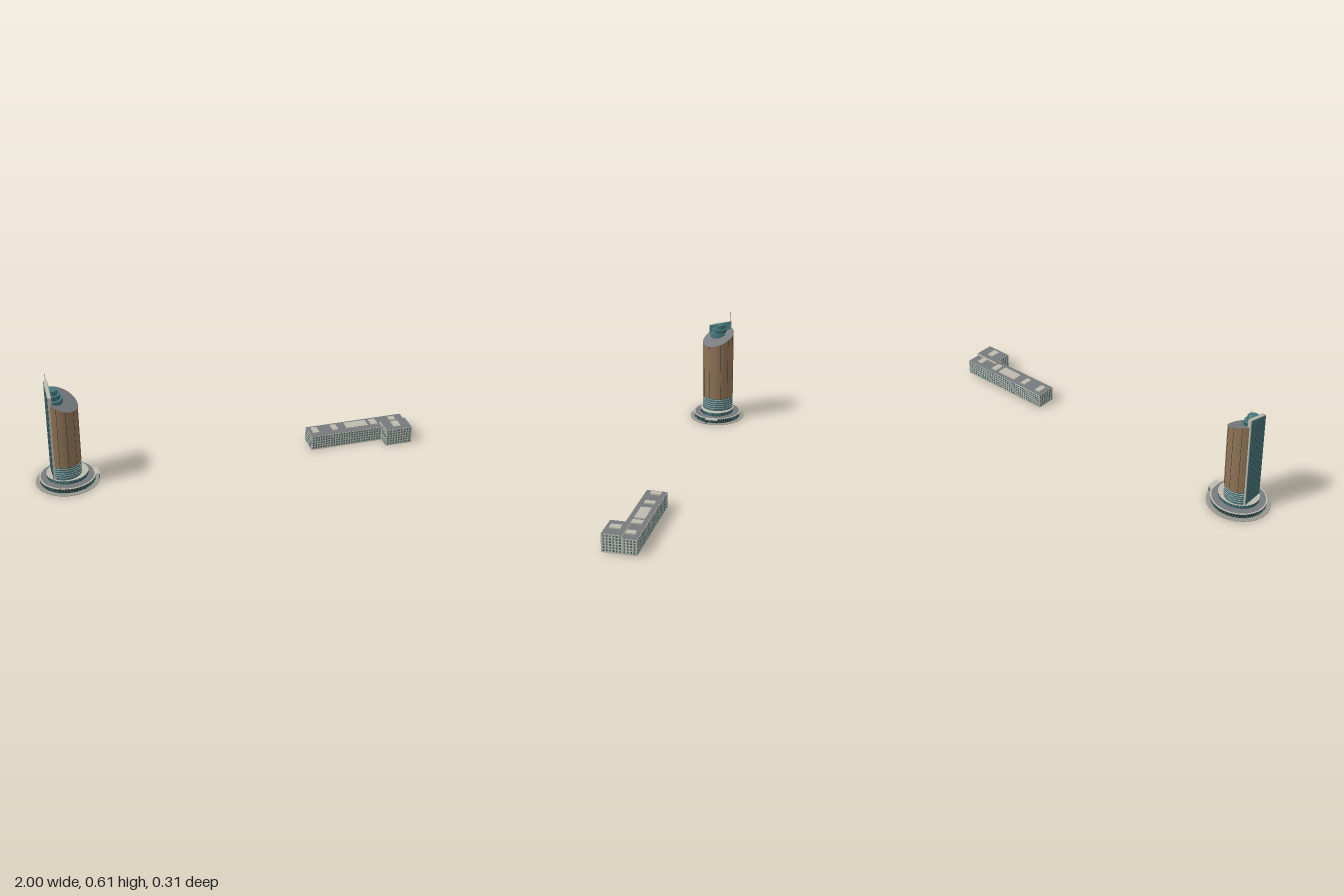
import * as THREE from 'three';
import { mergeGeometries } from 'three/addons/utils/BufferGeometryUtils.js';

const mat = (color, side = THREE.FrontSide) => new THREE.MeshStandardMaterial({ color, side });
const CREAM = mat(0xbdbaae), TEAL = mat(0x45747a), BROWN = mat(0x8f7355), DARK = mat(0x2c3a3a);
const GREY = mat(0x767a7d), ROOF = mat(0x767a7d, THREE.DoubleSide), GLASS = mat(0x45686c), PAVE = mat(0x96968e);

const TX = -0.848, TR = 0.087;      // tower axis and radius
const PX = -0.836;                  // podium centre
const CUT = -0.906;                 // flat back of the tower
const roofY = (x, z) => 0.476 - 0.39 * (x - TX) - 0.264 * z;

function add(parent, name, geo, material, x = 0, y = 0, z = 0) {
  const m = new THREE.Mesh(geo, material);
  m.name = name;
  m.position.set(x, y, z);
  parent.add(m);
  return m;
}

// box given by its minimum and maximum corners
function boxGeo(x0, x1, y0, y1, z0, z1) {
  return new THREE.BoxGeometry(x1 - x0, y1 - y0, z1 - z0)
    .translate((x0 + x1) / 2, (y0 + y1) / 2, (z0 + z1) / 2);
}

// elliptical podium drum
function drum(parent, name, rx, rz, y0, y1, material) {
  const g = new THREE.CylinderGeometry(1, 1, y1 - y0, 72).scale(rx, 1, rz);
  return add(parent, name, g, material, PX, (y0 + y1) / 2, 0);
}

// round drum with its back flattened at x = cut
function cutDrum(parent, name, cx, r, y0, y1, material, cut, open = false) {
  const g = new THREE.CylinderGeometry(r, r, y1 - y0, 64, 1, open).translate(cx, (y0 + y1) / 2, 0);
  const p = g.attributes.position;
  for (let i = 0; i < p.count; i++) p.setX(i, Math.max(cut, p.getX(i)));
  return add(parent, name, g, material);
}

// ring of upright posts on an ellipse
function posts(parent, name, cx, rx, rz, y0, y1, n, w, material, minX = -2) {
  const list = [];
  for (let i = 0; i < n; i++) {
    const a = (i + 0.5) / n * Math.PI * 2;
    const x = cx + Math.cos(a) * rx, z = Math.sin(a) * rz;
    if (x < minX) continue;
    list.push(new THREE.BoxGeometry(w, y1 - y0, w).rotateY(-a).translate(x, (y0 + y1) / 2, z));
  }
  add(parent, name, mergeGeometries(list), material);
}

// upright plate facing x, with a sloping top
function plate(x0, x1, zFront, zBack, y0, yFront, yBack) {
  const s = new THREE.Shape([
    new THREE.Vector2(-zFront, y0), new THREE.Vector2(-zBack, y0),
    new THREE.Vector2(-zBack, yBack), new THREE.Vector2(-zFront, yFront)]);
  return new THREE.ExtrudeGeometry(s, { depth: x1 - x0, bevelEnabled: false })
    .rotateY(Math.PI / 2).translate(x0, 0, 0);
}

function buildPodium() {
  const g = new THREE.Group();
  g.name = 'podium';
  drum(g, 'groundDisc', 0.164, 0.154, 0, 0.002, PAVE);
  drum(g, 'lowerPodium', 0.138, 0.127, 0.002, 0.027, DARK);
  posts(g, 'lowerColumns', PX, 0.14, 0.129, 0.002, 0.027, 60, 0.004, GLASS);
  drum(g, 'lowerPodiumRim', 0.144, 0.134, 0.027, 0.03, CREAM);
  drum(g, 'lowerPodiumRoof', 0.137, 0.127, 0.03, 0.0308, GREY);
  drum(g, 'upperPodium', 0.105, 0.092, 0.03, 0.05, TEAL);
  posts(g, 'upperMullions', PX, 0.105, 0.092, 0.03, 0.05, 44, 0.002, DARK);
  drum(g, 'upperPodiumRoof', 0.107, 0.094, 0.05, 0.053, CREAM);
  // entrance canopy on the side facing +x
  add(g, 'entranceCanopy', boxGeo(-0.702, -0.674, 0.026, 0.031, -0.035, 0.035), CREAM);
  for (const z of [-0.03, 0.03]) add(g, 'canopyPost', boxGeo(-0.68, -0.677, 0, 0.026, z - 0.0015, z + 0.0015), DARK);
  return g;
}

function buildTower() {
  const g = new THREE.Group();
  g.name = 'tower';
  // banded glass base
  cutDrum(g, 'glassBase', TX, TR - 0.001, 0.05, 0.126, TEAL, CUT);
  for (let i = 0; i < 5; i++) cutDrum(g, 'baseBand', TX, TR, 0.065 + i * 0.0128, 0.068 + i * 0.0128, CREAM, CUT);

  // shaft with a sloping top
  const shaft = cutDrum(g, 'shaft', TX, TR, 0.125, 0.47, BROWN, CUT, true);
  const p = shaft.geometry.attributes.position;
  for (let i = 0; i < p.count; i++) if (p.getY(i) > 0.3) p.setY(i, roofY(p.getX(i), p.getZ(i)));

  // sloping roof
  const roof = new THREE.CircleGeometry(TR + 0.0006, 64).rotateX(-Math.PI / 2).translate(TX, 0, 0);
  const q = roof.attributes.position;
  for (let i = 0; i < q.count; i++) {
    const x = Math.max(CUT, q.getX(i)), z = q.getZ(i);
    q.setXYZ(i, x, roofY(x, z), z);
  }
  roof.computeVertexNormals();
  add(g, 'slopingRoof', roof, ROOF);

  // dark vertical joints
  for (const deg of [22, 52, 82, 112]) for (const s of [-1, 1]) {
    const a = s * deg * Math.PI / 180;
    const x = TX + Math.cos(a) * TR, z = Math.sin(a) * TR;
    const h = roofY(x, z) - 0.125;
    add(g, 'shaftJoint', new THREE.BoxGeometry(0.0012, h, 0.0018).rotateY(-a), DARK, x, 0.125 + h / 2, z);
  }

  // stepped round crown against the back wall
  const cx = -0.885, wallX = -0.897;
  cutDrum(g, 'crownLower', cx, 0.053, 0.45, 0.49, TEAL, wallX);
  cutDrum(g, 'crownMiddle', cx, 0.039, 0.49, 0.512, TEAL, wallX);
  posts(g, 'crownMullions', cx, 0.039, 0.039, 0.49, 0.512, 28, 0.0015, DARK, wallX);
  cutDrum(g, 'crownMiddleRim', cx, 0.042, 0.511, 0.514, TEAL, wallX);
  cutDrum(g, 'crownUpper', cx, 0.029, 0.514, 0.538, TEAL, wallX);

  // back wall: light frame with glass on both faces
  add(g, 'backWall', plate(-0.914, -0.896, 0.063, -0.061, 0.03, 0.525, 0.557), CREAM);
  add(g, 'wallInnerGlass', plate(-0.896, -0.895, 0.063, -0.061, 0.44, 0.5245, 0.5565), TEAL);
  add(g, 'wallOuterGlass', plate(-0.9155, -0.914, 0.06, -0.058, 0.05, 0.522, 0.554), TEAL);
  const lines = [];
  for (let y = 0.066; y < 0.52; y += 0.0145) lines.push(boxGeo(-0.916, -0.9154, y, y + 0.001, -0.058, 0.06));
  for (let i = 1; i < 6; i++) {
    const z = -0.058 + i * 0.118 / 6;
    lines.push(boxGeo(-0.916, -0.9154, 0.05, 0.52, z - 0.0005, z + 0.0005));
  }
  add(g, 'wallGlazingBars', mergeGeometries(lines), DARK);
  for (const z of [-0.032, 0.03]) add(g, 'wallJoint', boxGeo(-0.895, -0.8945, 0.46, 0.528, z - 0.0006, z + 0.0006), DARK);

  // mast
  add(g, 'mastBase', new THREE.CylinderGeometry(0.0016, 0.0016, 0.035, 8), CREAM, -0.905, 0.565, -0.055);
  add(g, 'mast', new THREE.CylinderGeometry(0.0005, 0.0011, 0.03, 8), BROWN, -0.905, 0.596, -0.055);
  return g;
}

// windows along one wall; axis is the direction the wall runs in
function windows(list, axis, from, to, at, rows) {
  const n = Math.round((to - from) / 0.0145), step = (to - from) / n;
  for (let r = 0; r < rows; r++) for (let i = 0; i < n; i++) {
    const u = from + (i + 0.5) * step, y = 0.0125 + r * 0.0145;
    const b = axis === 'x' ? new THREE.BoxGeometry(0.008, 0.009, 0.001) : new THREE.BoxGeometry(0.001, 0.009, 0.008);
    list.push(axis === 'x' ? b.translate(u, y, at) : b.translate(at, y, u));
  }
}

function buildOffice() {
  const g = new THREE.Group();
  g.name = 'lowBuilding';
  add(g, 'mainBlock', boxGeo(0.458, 0.999, 0, 0.079, -0.042, 0.064), CREAM);
  add(g, 'wingBlock', boxGeo(0.854, 0.9995, 0, 0.094, 0.028, 0.129), CREAM);
  add(g, 'mainRoof', boxGeo(0.46, 0.997, 0.079, 0.0802, -0.04, 0.062), GREY);
  add(g, 'wingRoof', boxGeo(0.856, 0.9975, 0.094, 0.0952, 0.03, 0.127), GREY);

  // window grids on every wall
  const w = [];
  windows(w, 'x', 0.463, 0.994, -0.042, 5);
  windows(w, 'x', 0.463, 0.85, 0.064, 5);
  windows(w, 'z', -0.038, 0.06, 0.458, 5);
  windows(w, 'z', -0.038, 0.026, 0.999, 5);
  windows(w, 'x', 0.859, 0.994, 0.129, 6);
  windows(w, 'z', 0.03, 0.124, 0.9995, 6);
  windows(w, 'z', 0.068, 0.126, 0.854, 6);
  add(g, 'windows', mergeGeometries(w), GLASS);

  // rooftop housings
  for (const [a, b] of [[0.478, 0.51], [0.587, 0.617], [0.666, 0.784], [0.805, 0.84], [0.917, 0.95]]) {
    add(g, 'roofHousing', boxGeo(a, b, 0.08, 0.087, -0.02, 0.034), CREAM);
  }
  add(g, 'wingRoofHousing', boxGeo(0.905, 0.942, 0.095, 0.102, 0.053, 0.107), CREAM);
  return g;
}

export function createModel() {
  const model = new THREE.Group();
  model.name = 'towerAndLowBuilding';
  model.add(buildPodium(), buildTower(), buildOffice());
  return model;
}
